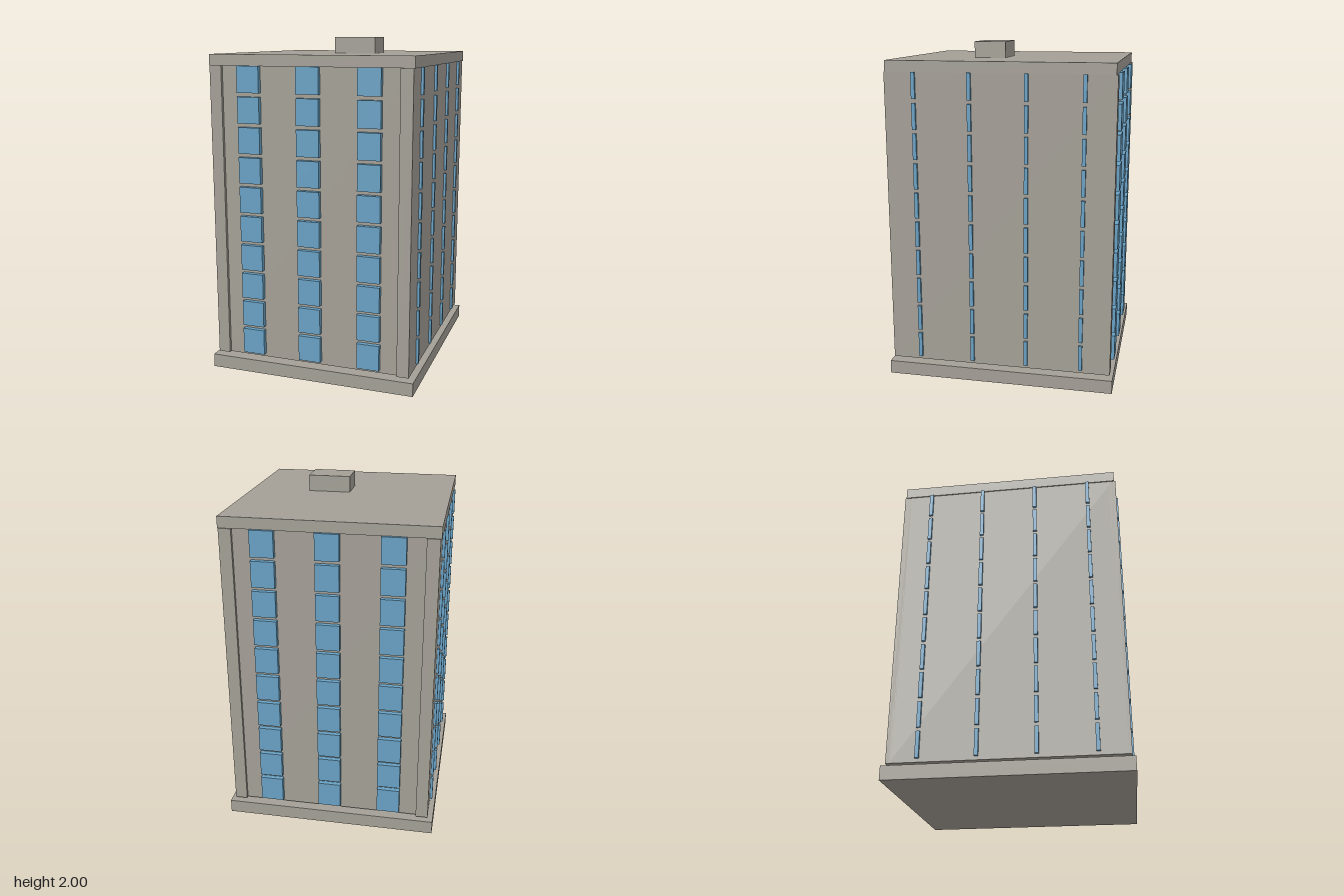
import * as THREE from 'three';

const concrete = new THREE.MeshStandardMaterial({ color: 0xa39f96 });
concrete.name = 'concrete';
const glass = new THREE.MeshStandardMaterial({ color: 0x68a0c3 });
glass.name = 'blueGlass';

// Box given by its extents along each axis
function box(name, material, [x0, x1], [y0, y1], [z0, z1]) {
  const mesh = new THREE.Mesh(new THREE.BoxGeometry(x1 - x0, y1 - y0, z1 - z0), material);
  mesh.name = name;
  mesh.position.set((x0 + x1) / 2, (y0 + y1) / 2, (z0 + z1) / 2);
  return mesh;
}

export function createModel() {
  const tower = new THREE.Group();
  tower.name = 'apartmentTower';

  // Base slab, main block, roof slab and stair housing
  tower.add(
    box('baseSlab', concrete, [-0.632, 0.632], [0, 0.08], [-0.68, 0.68]),
    box('mainBlock', concrete, [-0.602, 0.602], [0.1, 1.84], [-0.645, 0.645]),
    box('roofSlab', concrete, [-0.608, 0.608], [1.84, 1.905], [-0.655, 0.655]),
    box('stairHousing', concrete, [0, 0.252], [1.905, 2], [0.033, 0.22])
  );

  // Corner pilasters, standing proud of the front and back walls
  for (const sx of [-1, 1]) for (const sz of [-1, 1]) {
    const pilaster = box('cornerPilaster', concrete, [-0.036, 0.036], [0.1, 1.84], [-0.02, 0.02]);
    pilaster.position.x = sx * 0.566;
    pilaster.position.z = sz * 0.643;
    tower.add(pilaster);
  }

  // Ten floors of windows on all four sides
  const windows = new THREE.Group();
  windows.name = 'windows';
  const wideGeometry = new THREE.BoxGeometry(0.135, 0.152, 0.036);
  const narrowGeometry = new THREE.BoxGeometry(0.022, 0.152, 0.022);
  const addWindow = (name, geometry, x, y, z) => {
    const pane = new THREE.Mesh(geometry, glass);
    pane.name = name;
    pane.position.set(x, y, z);
    windows.add(pane);
  };
  for (let floor = 0; floor < 10; floor++) {
    const y = 0.197 + floor * 0.1743;
    for (const side of [-1, 1]) {
      for (const x of [-0.36, 0, 0.36]) addWindow('wideWindow', wideGeometry, x, y, side * 0.656);
      for (const z of [-0.488, -0.163, 0.163, 0.488]) addWindow('narrowWindow', narrowGeometry, side * 0.606, y, z);
    }
  }
  tower.add(windows);
  return tower;
}
